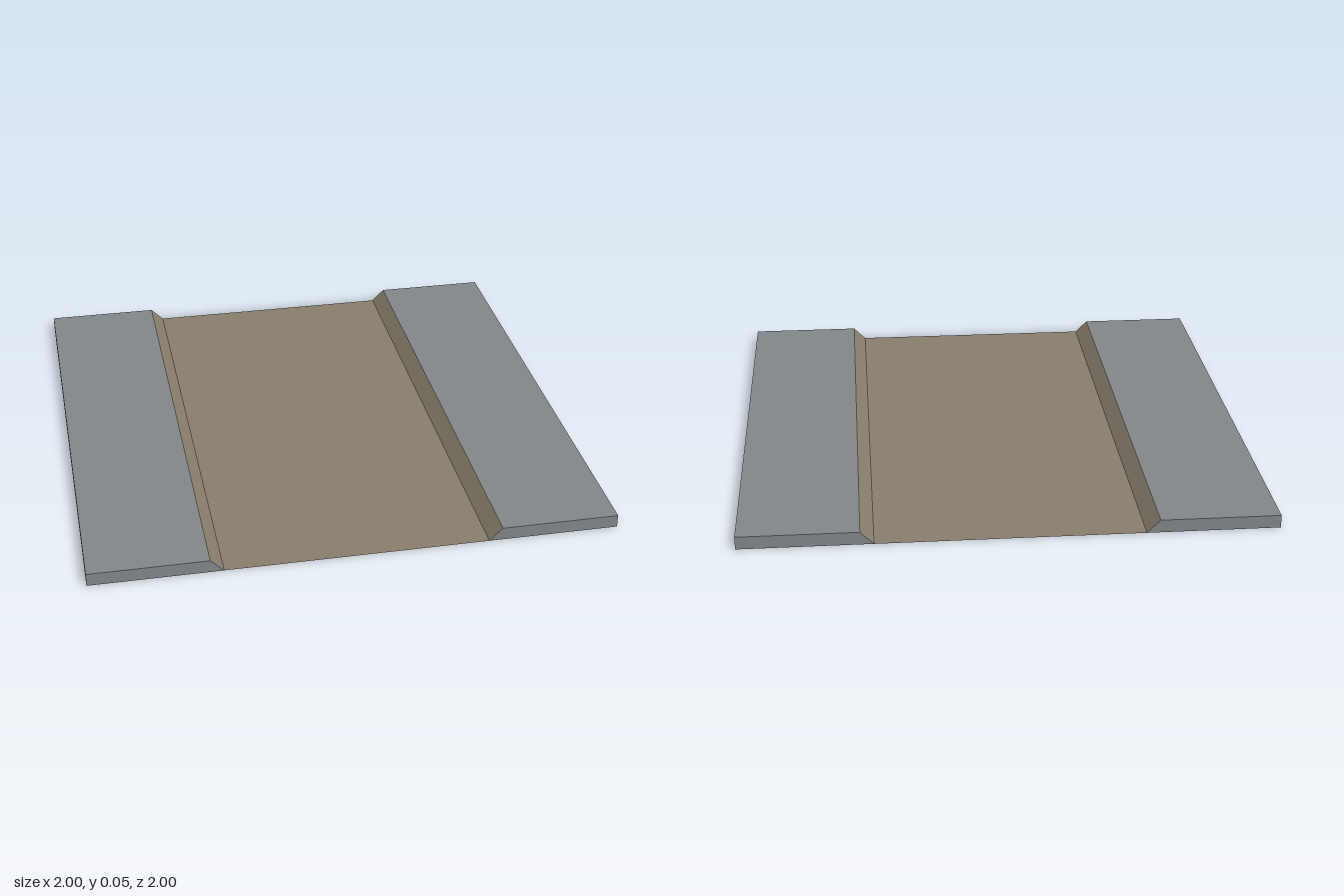
import * as THREE from 'three';

const HEIGHT = 0.05, HALF = 1, BED = 0.5, CREST = 0.55;

// Flat strip swept along z between two points of the cross-section
function strip(name, [x0, y0], [x1, y1], material) {
  const geometry = new THREE.PlaneGeometry(Math.hypot(x1 - x0, y1 - y0), 2 * HALF);
  geometry.rotateX(-Math.PI / 2);
  geometry.rotateZ(Math.atan2(y1 - y0, x1 - x0));
  geometry.translate((x0 + x1) / 2, (y0 + y1) / 2, 0);
  const mesh = new THREE.Mesh(geometry, material);
  mesh.name = name;
  return mesh;
}

export function createModel() {
  const paving = new THREE.MeshStandardMaterial({ color: 0x82878a, side: THREE.DoubleSide });
  paving.name = 'grey paving';
  const earth = new THREE.MeshStandardMaterial({ color: 0x897f6e, side: THREE.DoubleSide });
  earth.name = 'brown earth';

  const model = new THREE.Group();
  model.name = 'sunkenRoad';

  // Sunken bed
  model.add(strip('bed', [-BED, 0], [BED, 0], earth));

  // Raised banks, open underneath
  for (const side of [1, -1]) {
    const bank = new THREE.Group();
    bank.name = side > 0 ? 'leftBank' : 'rightBank';
    // Points run left to right so that every strip faces up or outward
    const profile = [[BED, 0], [CREST, HEIGHT], [HALF, HEIGHT], [HALF, 0]].map(([x, y]) => [x * side, y]);
    const names = ['slope', 'bankTop', 'outerWall'];
    names.forEach((name, i) => {
      const [a, b] = side > 0 ? [profile[i], profile[i + 1]] : [profile[i + 1], profile[i]];
      bank.add(strip(name, a, b, i === 0 ? earth : paving));
    });

    // End walls
    const outline = new THREE.Shape(profile.map(([x, y]) => new THREE.Vector2(x, y)));
    for (const end of [1, -1]) {
      const wall = new THREE.Mesh(new THREE.ShapeGeometry(outline), paving);
      wall.name = end > 0 ? 'frontWall' : 'backWall';
      wall.position.z = end * HALF;
      if (end < 0) {
        // Turn the back wall outward while keeping its side
        wall.geometry.scale(-1, 1, 1);
        const index = wall.geometry.index.array;
        for (let i = 0; i < index.length; i += 3) [index[i], index[i + 1]] = [index[i + 1], index[i]];
        wall.geometry.computeVertexNormals();
        wall.rotation.y = Math.PI;
      }
      bank.add(wall);
    }
    model.add(bank);
  }
  return model;
}
